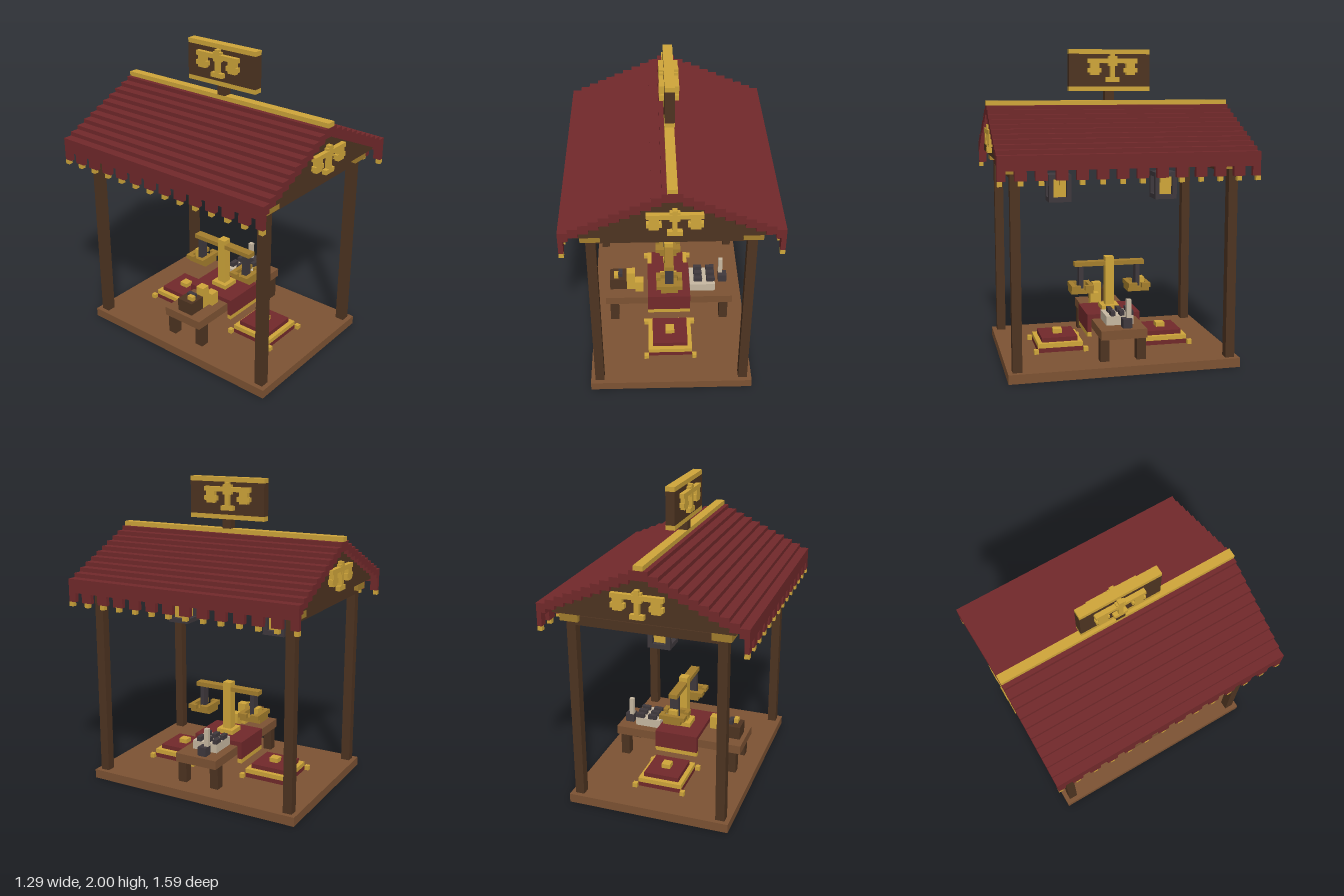
import * as THREE from 'three';

const V = 1 / 34; // one block of the grid

const mat = (name, color) => {
  const m = new THREE.MeshStandardMaterial({ color });
  m.name = name;
  return m;
};

export function createModel() {
  const red = mat('red cloth', 0x72292b);
  const gold = mat('gold', 0xd0a63a);
  const brass = mat('dull brass', 0xa47e2d);
  const wood = mat('brown wood', 0x7d5333);
  const timber = mat('dark timber', 0x4e3421);
  const iron = mat('iron', 0x3f393d);
  const paper = mat('paper', 0xc8b9a2);

  const root = new THREE.Group();
  root.name = 'marketStall';

  const group = (name, parent = root) => {
    const g = new THREE.Group();
    g.name = name;
    parent.add(g);
    return g;
  };
  // Box from min to max corner, in blocks
  const box = (parent, name, m, x0, x1, y0, y1, z0, z1) => {
    const geo = new THREE.BoxGeometry((x1 - x0) * V, (y1 - y0) * V, (z1 - z0) * V);
    const mesh = new THREE.Mesh(geo, m);
    mesh.position.set((x0 + x1) / 2 * V, (y0 + y1) / 2 * V, (z0 + z1) / 2 * V);
    mesh.name = name;
    parent.add(mesh);
    return mesh;
  };

  // Floor
  box(root, 'floor', wood, -18, 18, 0, 2, -25, 25);

  // Posts with brass caps
  for (const sx of [-1, 1]) for (const sz of [-1, 1]) {
    const p = group('cornerPost');
    const x = 16 * sx, z = 23 * sz;
    box(p, 'post', timber, x - 1, x + 1, 2, 43, z - 1, z + 1);
    box(p, 'postCap', brass, x - 2, x + 2, 43, 45, z - 2, z + 2);
  }

  // Balance-scale emblem, centred on x, base at y = 0, one block deep
  const emblem = (parent, x, y, z, turn) => {
    const e = group('scaleEmblem', parent);
    box(e, 'emblemStem', gold, -0.5, 0.5, 1, 6, 0, 1);
    box(e, 'emblemCollar', gold, -1, 1, 3.4, 5.5, 0, 0.9);
    box(e, 'emblemBase', gold, -1.5, 1.5, 0, 1, 0, 1);
    for (const s of [-1, 1]) {
      const span = (name, a, b, y0, y1) =>
        box(e, name, gold, Math.min(a * s, b * s), Math.max(a * s, b * s), y0, y1, 0, 1);
      span('emblemBeam', 0.5, 5.5, 4, 5);
      span('emblemHanger', 3, 5, 3, 4);
      span('emblemPan', 2.5, 5.5, 2, 3);
      span('emblemPanFoot', 3, 5, 1.5, 2);
    }
    e.position.set(x * V, y * V, z * V);
    e.rotation.y = turn;
  };

  // Stepped roof, with matching gable walls and cross beams at both ends
  const roof = group('roof');
  const top = (i) => 56 - 0.9 * i;
  for (let i = 0; i <= 10; i++) for (const s of [-1, 1]) {
    const a = Math.min(2 * i * s, (2 * i + 2) * s);
    box(roof, 'roofStep', red, a, a + 2, top(i) - 2, top(i), -27, 27);
  }
  box(roof, 'ridge', gold, -1, 1, 56, 57, -27, 27);
  for (const s of [-1, 1]) {
    const end = group('gableEnd');
    for (let i = 0; i <= 9; i++) {
      const w = Math.min(2 * i + 2, 19);
      const low = i === 9 ? 45 : top(i + 1) - 1;
      box(end, 'gableBoard', timber, -w, w, low, top(i) - 1, 25 * s - 1, 25 * s + 1);
    }
    box(end, 'crossBeam', timber, -15, 15, 42, 44, 23 * s - 1, 23 * s + 1);
    emblem(end, 0.5, 46, 26 * s, s > 0 ? 0 : Math.PI);
  }

  // Scalloped valance along both eaves
  for (const s of [-1, 1]) {
    const v = group('valance');
    const x = Math.min(21 * s, 22 * s);
    box(v, 'valanceBand', red, x, x + 1, 44, 45, -27, 27);
    for (let k = 0; k < 14; k++) {
      const z = -26.5 + k * 53 / 13;
      box(v, 'valanceTab', red, x, x + 1, 42, 44, Math.max(z - 1.2, -27), Math.min(z + 1.2, 27));
      box(v, 'tabTip', gold, x, x + 1, 41, 42, z - 0.5, z + 0.5);
    }
  }

  // Sign on the ridge
  const sign = group('roofSign');
  box(sign, 'signPost', timber, -1, 1, 57, 59, -1, 1);
  box(sign, 'signBottomRail', gold, -1, 1, 59, 60, -9, 9);
  box(sign, 'signBoard', timber, -1, 1, 60, 67, -9, 9);
  box(sign, 'signTopRail', gold, -1, 1, 67, 68, -9, 9);
  for (const s of [-1, 1]) emblem(sign, s, 61, -0.5, s * Math.PI / 2);

  // Hanging lanterns
  for (const z of [11.5, -12.5]) {
    const l = group('lantern');
    box(l, 'lanternRod', iron, 0, 1, 41, 54.2, z - 0.5, z + 0.5);
    box(l, 'lanternTop', iron, -2, 3, 40, 41, z - 2.5, z + 2.5);
    box(l, 'lanternBottom', iron, -2, 3, 35, 36, z - 2.5, z + 2.5);
    box(l, 'lanternLight', gold, -1, 2, 36, 40, z - 1.5, z + 1.5);
    for (const x of [-2, 2]) for (const dz of [-2.5, 1.5])
      box(l, 'lanternBar', iron, x, x + 1, 36, 40, z + dz, z + dz + 1);
  }

  // Table with runner cloth
  const table = group('table');
  box(table, 'tableTop', wood, -15, 15, 7, 9, -5, 5);
  for (const x of [-13, 13]) for (const z of [-4, 4])
    box(table, 'tableLeg', timber, x - 1, x + 1, 2, 7, z - 1, z + 1);
  box(table, 'clothTop', red, -5, 5, 9, 10, -6, 6);
  for (const z of [-6, 5]) {
    box(table, 'clothFlap', red, -5, 5, 6, 9, z, z + 1);
    box(table, 'clothTrim', gold, -5, 5, 5, 6, z, z + 1);
  }

  // Balance scale
  const scale = group('balanceScale');
  box(scale, 'scaleBase', gold, -2, 2, 10, 11, -2, 2);
  box(scale, 'scaleColumn', gold, -1, 1, 11, 22, -1, 1);
  for (const s of [-1, 1]) {
    const zb = (name, m, x0, x1, y0, y1, a, b) =>
      box(scale, name, m, x0, x1, y0, y1, Math.min(a * s, b * s), Math.max(a * s, b * s));
    zb('scaleBeam', brass, -1, 1, 20, 21, 1, 8);
    zb('panHanger', iron, -1, 1, 15, 20, 6, 7);
    zb('panBottom', brass, -2, 2, 14, 15, 4, 9);
    zb('panRimInner', brass, -3, 3, 15, 16, 4, 5);
    zb('panRimOuter', brass, -3, 3, 15, 16, 8, 9);
    for (const x of [-3, 2]) for (const z of [5, 7])
      zb('panRimSide', brass, x, x + 1, 15, 16, z, z + 1);
  }
  box(scale, 'weighedCoins', gold, -1, 1, 15, 17, -8, -7);

  // Coin box and coin stacks
  const coins = group('coins');
  box(coins, 'coinBox', timber, -14, -10, 9, 12, -2, 2);
  box(coins, 'boxCoin', gold, -13, -12, 12, 13, 0, 1.5);
  box(coins, 'boxStone', iron, -12, -11, 12, 13, -1, 1);
  box(coins, 'tallCoinStack', gold, -10, -8, 9, 14, 0, 2);
  box(coins, 'shortCoinStack', gold, -8, -6, 9, 12, 1, 3);

  // Tray with weights, inkwell and quill
  const desk = group('deskItems');
  box(desk, 'tray', paper, 5, 11, 9, 11, -3, 3);
  for (const x of [6, 9]) for (const z of [-3, -1, 1])
    box(desk, 'trayWeight', iron, x, x + 2, 11, 12, z, z + 1);
  box(desk, 'inkwell', iron, 12, 14, 9, 11, -2, 0);
  box(desk, 'quill', paper, 12, 13, 11, 15, -2, -1);

  // Floor cushions with corner tassels
  for (const z of [12, -12]) {
    const c = group('cushion');
    box(c, 'cushionBase', red, -5, 5, 2, 3, z - 5, z + 5);
    box(c, 'cushionRim', gold, -5, 5, 3, 4, z - 5, z + 5);
    box(c, 'cushionTop', red, -4, 4, 4, 5, z - 4, z + 4);
    box(c, 'cushionButton', gold, -1, 1, 5, 6, z - 1, z + 1);
    for (const x of [-5.5, 5.5]) for (const dz of [-5.5, 5.5])
      box(c, 'tassel', gold, x - 0.5, x + 0.5, 2, 3, z + dz - 0.5, z + dz + 0.5);
  }

  return root;
}
